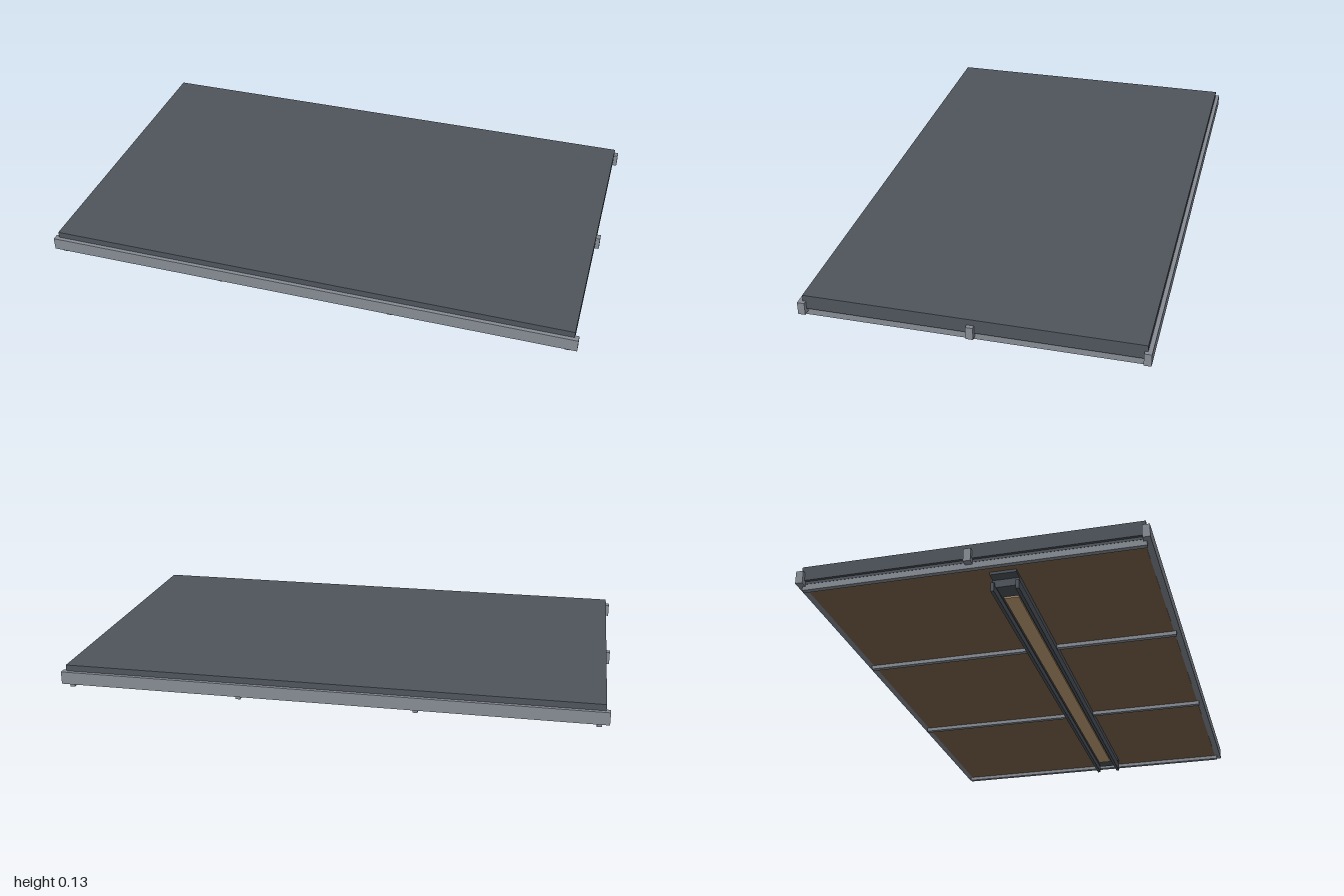
import * as THREE from 'three';

const material = (name, color) => {
  const m = new THREE.MeshStandardMaterial({ color });
  m.name = name;
  return m;
};

export function createModel() {
  const model = new THREE.Group();
  model.name = 'platform';
  const slate = material('slate', 0x4f555c);
  const steel = material('steel', 0x868c94);
  const wood = material('wood', 0x80664f);
  const tan = material('light tan', 0xc6a278);

  // Box given by its extents on each axis
  function block(name, mat, [x0, x1], [y0, y1], [z0, z1], parent = model) {
    const mesh = new THREE.Mesh(new THREE.BoxGeometry(x1 - x0, y1 - y0, z1 - z0), mat);
    mesh.position.set((x0 + x1) / 2, (y0 + y1) / 2, (z0 + z1) / 2);
    mesh.name = name;
    parent.add(mesh);
    return mesh;
  }

  // Deck slab over a slightly recessed core and the underside panel
  block('deckSlab', slate, [-0.985, 0.985], [0.077, 0.13], [-0.598, 0.598]);
  block('deckCore', slate, [-0.975, 0.975], [0.067, 0.077], [-0.59, 0.59]);
  block('undersidePanel', wood, [-0.972, 0.972], [0.059, 0.067], [-0.59, 0.59]);

  // Long rails at the front, back and (mostly hidden) centre
  for (const [name, z] of [['frontRail', 0.6], ['centreRail', 0], ['backRail', -0.6]]) {
    block(name, steel, [-1, 1], [0.06, 0.107], [z - 0.013, z + 0.013]);
  }

  // Cross beams below the panel
  for (const x of [-0.965, -0.325, 0.325, 0.965]) {
    block('crossBeam', steel, [x - 0.009, x + 0.009], [0.045, 0.07], [-0.598, 0.598]);
  }

  // Hanging channel: tapered body, side lips, mounting flange and inlaid strip
  const channel = new THREE.Group();
  channel.name = 'hangingChannel';
  channel.position.z = 0.099;
  model.add(channel);

  const profile = new THREE.Shape([
    new THREE.Vector2(-0.034, 0.021),
    new THREE.Vector2(0.034, 0.021),
    new THREE.Vector2(0.047, 0.034),
    new THREE.Vector2(0.047, 0.05),
    new THREE.Vector2(-0.047, 0.05),
    new THREE.Vector2(-0.047, 0.034),
  ]);
  const bodyGeometry = new THREE.ExtrudeGeometry(profile, { depth: 1.74, bevelEnabled: false });
  bodyGeometry.translate(0, 0, -0.87).rotateY(Math.PI / 2);
  const body = new THREE.Mesh(bodyGeometry, slate);
  body.name = 'channelBody';
  channel.add(body);

  block('channelFlange', slate, [-0.91, 0.91], [0.049, 0.06], [-0.047, 0.047], channel);
  for (const s of [-1, 1]) {
    const z = s * 0.044;
    block('channelLip', slate, [-0.885, 0.885], [0, 0.034], [z - 0.006, z + 0.006], channel);
  }
  block('channelStrip', tan, [-0.8, 0.8], [0.015, 0.022], [-0.026, 0.026], channel);

  return model;
}
